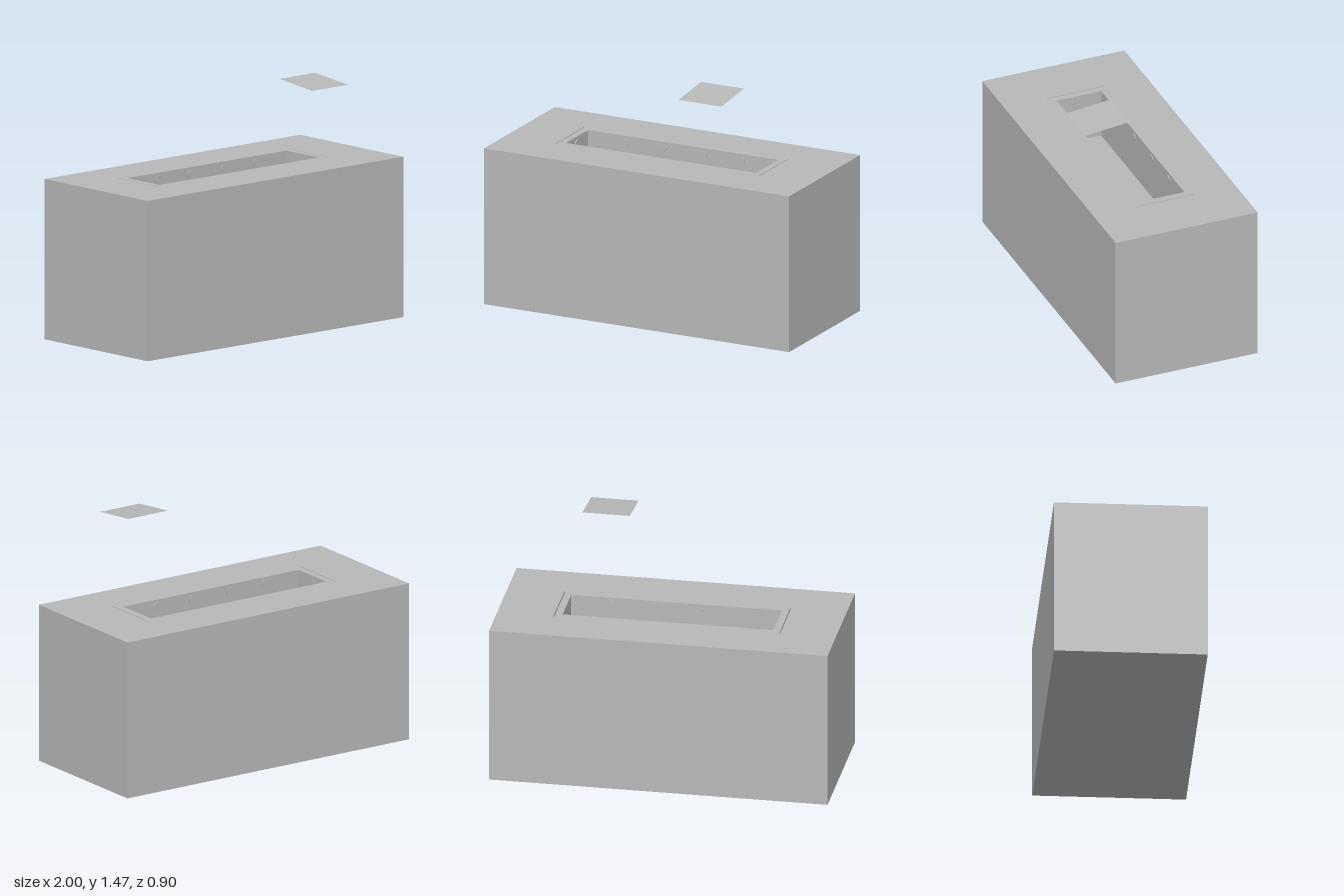
import * as THREE from 'three';

const TOP = 0.95, DEPTH = 0.3;
const BACK = -0.453, FRONT = 0.443;
const POOL = { x0: -0.625, x1: 0.62, z0: -0.15, z1: 0.13 };
const SLOT = { xs: [-0.67, 0.665], z0: -0.19, z1: 0.175, half: 0.003 };

// Closed rectangle in plan; shape y is -z so that the extrusion can stand upright
function rect(Type, x0, x1, z0, z1) {
  const r = new Type();
  r.moveTo(x0, -z1).lineTo(x1, -z1).lineTo(x1, -z0).lineTo(x0, -z0).closePath();
  return r;
}

export function createModel() {
  const group = new THREE.Group();
  const stone = new THREE.MeshStandardMaterial({ color: 0xb8b8b8 });
  stone.name = 'stone grey';
  const sheet = new THREE.MeshStandardMaterial({ color: 0xb8b8b8, side: THREE.DoubleSide });
  sheet.name = 'sheet grey';

  const add = (name, geometry, material = stone) => {
    const mesh = new THREE.Mesh(geometry, material);
    mesh.name = name;
    group.add(mesh);
    return mesh;
  };

  // Upper block with the basin opening and two narrow slots
  const plan = rect(THREE.Shape, -1, 1, BACK, FRONT);
  plan.holes.push(rect(THREE.Path, POOL.x0, POOL.x1, POOL.z0, POOL.z1));
  for (const x of SLOT.xs) {
    plan.holes.push(rect(THREE.Path, x - SLOT.half, x + SLOT.half, SLOT.z0, SLOT.z1));
  }
  const upper = new THREE.ExtrudeGeometry(plan, { depth: DEPTH, bevelEnabled: false });
  upper.rotateX(-Math.PI / 2).translate(0, TOP - DEPTH, 0);
  add('blockWithBasin', upper);

  // Solid base, whose top is the basin floor
  const baseHeight = TOP - DEPTH;
  add('base', new THREE.BoxGeometry(2, baseHeight, FRONT - BACK))
    .position.set(0, baseHeight / 2, (FRONT + BACK) / 2);

  // Small round nozzles just below the rim
  const jet = new THREE.CylinderGeometry(0.023, 0.023, 0.01, 20).rotateX(Math.PI / 2);
  const jetY = TOP - 0.04;
  for (const x of [-0.385, -0.135, 0.13, 0.38]) {
    add('backNozzle', jet).position.set(x, jetY, POOL.z0);
    add('frontNozzle', jet).position.set(x, jetY, POOL.z1);
  }
  const endJet = add('endNozzle', jet);
  endJet.rotation.y = Math.PI / 2;
  endJet.position.set(POOL.x0, jetY, (POOL.z0 + POOL.z1) / 2);

  // Floating square panel, tipped down towards the front
  const run = 0.285, drop = 0.03;
  const panel = add('floatingPanel', new THREE.PlaneGeometry(0.28, Math.hypot(run, drop)), sheet);
  panel.rotation.x = -Math.PI / 2 + Math.atan2(drop, run);
  panel.position.set(0.42, 1.45, 0.3075);

  return group;
}
